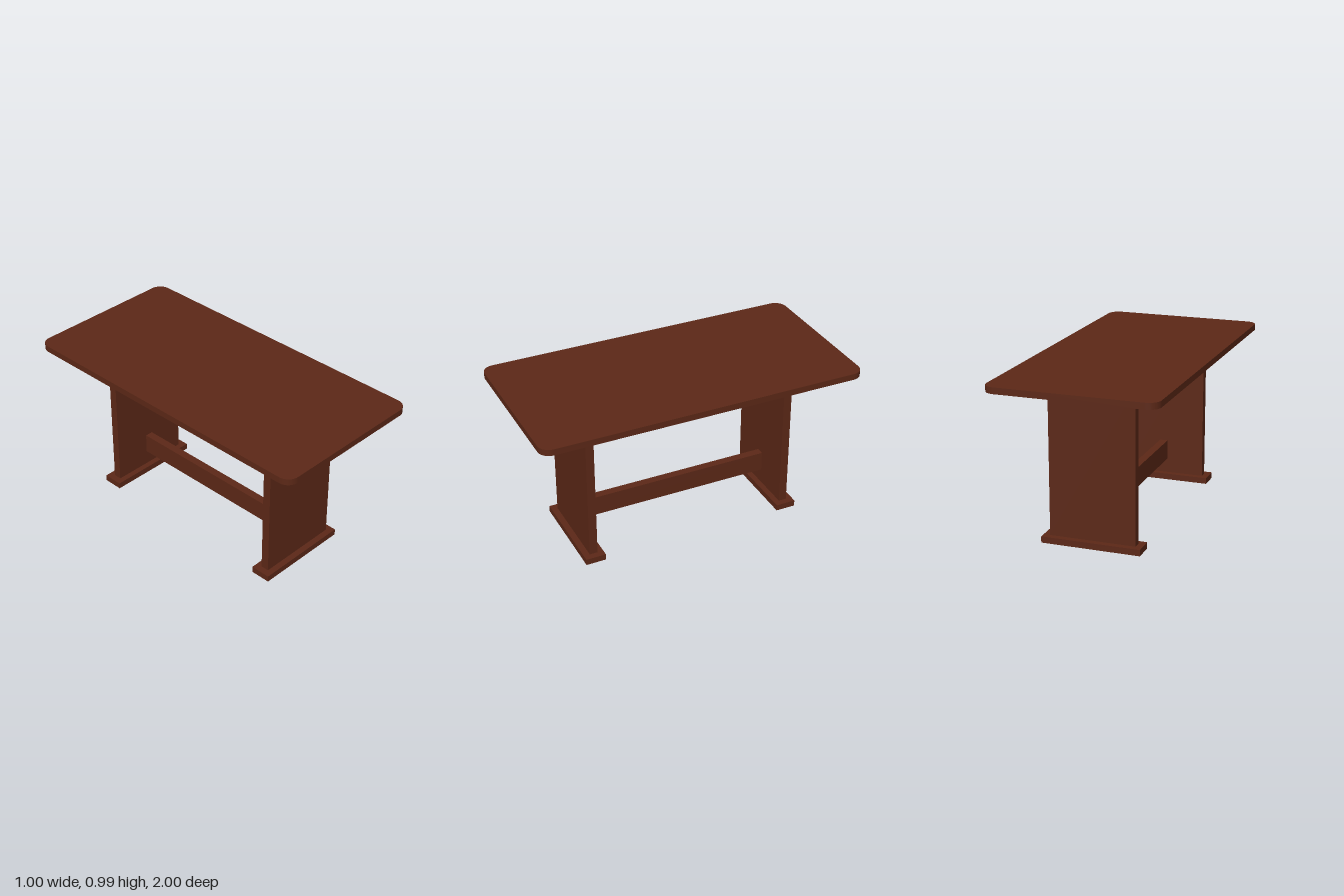
import * as THREE from 'three';
import { toCreasedNormals } from 'three/addons/utils/BufferGeometryUtils.js';

const wood = new THREE.MeshStandardMaterial({ color: 0x5c2817 });

function box(name, w, h, d, y, z) {
  const mesh = new THREE.Mesh(new THREE.BoxGeometry(w, h, d), wood);
  mesh.name = name;
  mesh.position.set(0, y + h / 2, z); // y is the underside
  return mesh;
}

// Slab with rounded corners, lying flat
function tableTop(w, d, h, r, y) {
  const x = w / 2, z = d / 2;
  const s = new THREE.Shape();
  s.absarc(x - r, z - r, r, 0, Math.PI / 2);
  s.absarc(-x + r, z - r, r, Math.PI / 2, Math.PI);
  s.absarc(-x + r, -z + r, r, Math.PI, Math.PI * 1.5);
  s.absarc(x - r, -z + r, r, Math.PI * 1.5, Math.PI * 2);
  s.closePath();
  let geo = new THREE.ExtrudeGeometry(s, { depth: h, bevelEnabled: false, curveSegments: 10 });
  geo.rotateX(-Math.PI / 2);
  geo = toCreasedNormals(geo, Math.PI / 5);
  const mesh = new THREE.Mesh(geo, wood);
  mesh.name = 'tableTop';
  mesh.position.y = y;
  return mesh;
}

export function createModel() {
  const table = new THREE.Group();
  table.name = 'table';
  table.add(tableTop(1, 2, 0.038, 0.07, 0.952));

  // Panel leg and foot at each end
  for (const [end, side] of [['front', 1], ['back', -1]]) {
    table.add(box(end + 'Leg', 0.52, 0.914, 0.05, 0.038, side * 0.636));
    table.add(box(end + 'Foot', 0.6, 0.038, 0.124, 0, side * 0.637));
  }

  // Stretcher between the legs
  table.add(box('stretcher', 0.05, 0.124, 1.222, 0.13, 0));
  return table;
}
